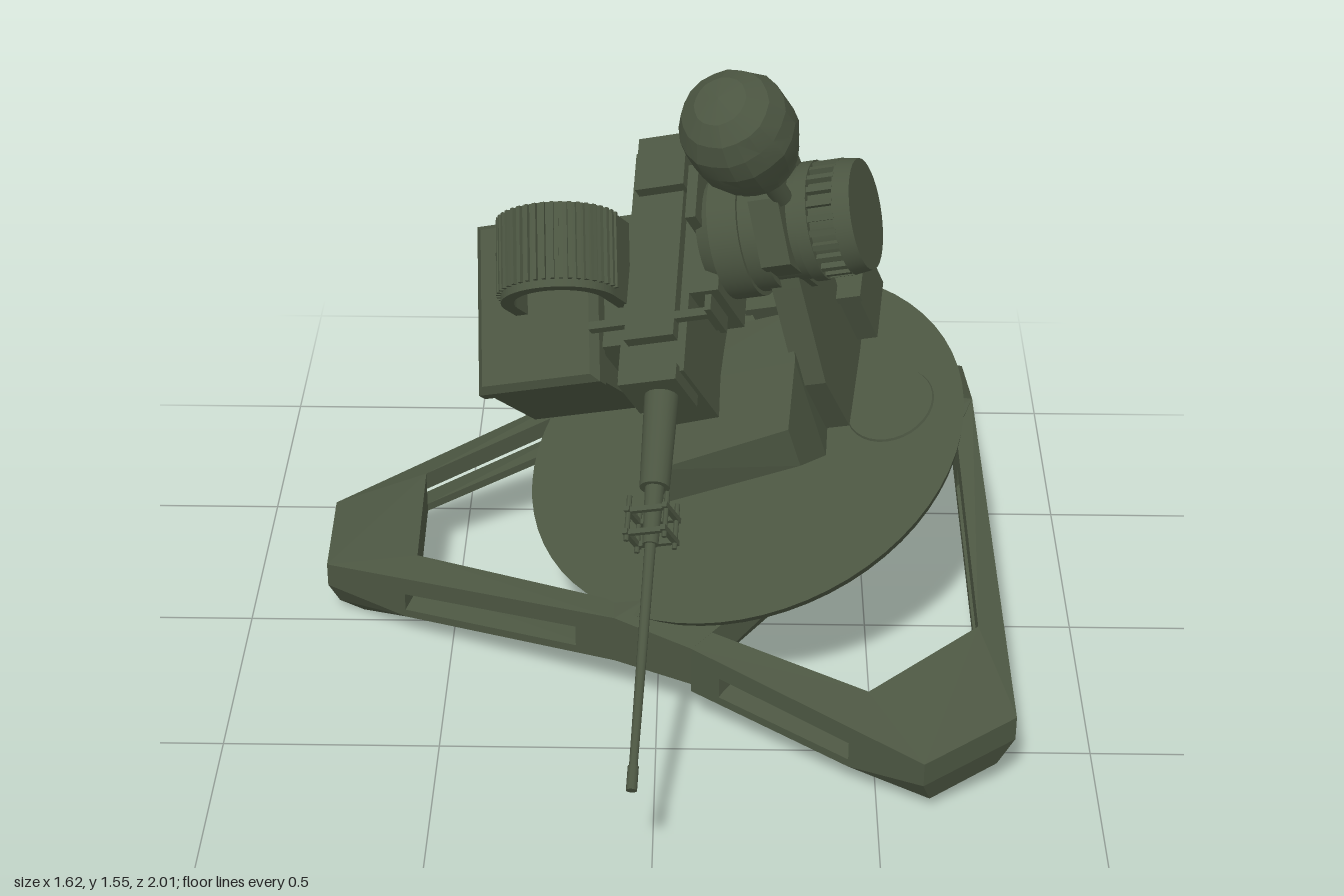
import * as THREE from 'three';
import { ConvexGeometry } from 'three/addons/geometries/ConvexGeometry.js';
import { toCreasedNormals } from 'three/addons/utils/BufferGeometryUtils.js';

const V = (x, y, z) => new THREE.Vector3(x, y, z);
const drop = (p, h) => V(p.x, p.y - h, p.z);
const mix = (p, q, t) => p.clone().lerp(q, t);

export function createModel() {
  const model = new THREE.Group();
  const olive = new THREE.MeshStandardMaterial({ color: 0x4b5541 });
  olive.name = 'olive';

  const add = (parent, name, geometry) => {
    const m = new THREE.Mesh(geometry, olive);
    m.name = name;
    parent.add(m);
    return m;
  };
  const hull = (parent, name, pts) => add(parent, name, new ConvexGeometry(pts));
  const slab = (parent, name, pts, h) => hull(parent, name, [...pts, ...pts.map((p) => drop(p, h))]);
  // Box given by its min and max on each axis
  const box = (parent, name, x0, x1, y0, y1, z0, z1) => {
    const m = add(parent, name, new THREE.BoxGeometry(x1 - x0, y1 - y0, z1 - z0));
    m.position.set((x0 + x1) / 2, (y0 + y1) / 2, (z0 + z1) / 2);
    return m;
  };
  // Cylinder between two points
  const rod = (parent, name, p, q, r0, r1 = r0, seg = 10) => {
    const d = q.clone().sub(p);
    const m = add(parent, name, new THREE.CylinderGeometry(r1, r0, d.length(), seg));
    m.position.copy(p).addScaledVector(d, 0.5);
    m.quaternion.setFromUnitVectors(V(0, 1, 0), d.normalize());
    return m;
  };
  // Profile in (z, y), extruded along x
  const sideProfile = (parent, name, pts, x0, x1) => {
    const shape = new THREE.Shape(pts.map(([z, y]) => new THREE.Vector2(-z, y)));
    const g = new THREE.ExtrudeGeometry(shape, { depth: x1 - x0, bevelEnabled: false });
    g.rotateY(Math.PI / 2);
    g.translate(x0, 0, 0);
    return add(parent, name, g);
  };

  // ---- Base: triangular hub and three open legs ----
  const base = new THREE.Group();
  base.name = 'base';
  model.add(base);
  const P1 = V(0.74, 0.58, -0.1);
  const P2a = V(-0.13, 0.37, -0.545), P2b = V(-0.06, 0.38, -0.585);
  const P3a = V(-0.1, 0.23, 0.32), P3b = V(0.08, 0.21, 0.41);
  hull(base, 'hub', [P1, drop(P1, 0.1), V(0.7, 0.42, -0.1), V(0.69, 0.55, -0.17), V(0.69, 0.53, 0),
    P2a, P2b, drop(P2a, 0.125), drop(P2b, 0.125), P3a, P3b, drop(P3a, 0.12), drop(P3b, 0.1)]);

  const legs = [
    { o: [V(-0.81, 0.17, -0.25), V(-0.81, 0.14, -0.02)], i: [V(-0.585, 0.245, -0.27), V(-0.585, 0.19, 0.01)], h: [P2a, P3a] },
    { o: [V(0.785, 0.21, -0.88), V(0.58, 0.18, -1.0)], i: [V(0.69, 0.31, -0.68), V(0.44, 0.27, -0.82)], h: [P1, P2b] },
    { o: [V(0.6, 0.14, 0.74), V(0.81, 0.19, 0.63)], i: [V(0.48, 0.22, 0.58), V(0.73, 0.31, 0.45)], h: [P3b, P1] },
  ];
  for (const { o, i, h } of legs) {
    const leg = new THREE.Group();
    leg.name = 'leg';
    base.add(leg);
    // Point on the outer edge level with the inner corner of the foot
    const edge = [0, 1].map((k) => {
      const d = h[k].clone().sub(o[k]);
      return mix(o[k], h[k], i[k].clone().sub(o[k]).dot(d) / d.lengthSq());
    });
    const toe = [0, 1].flatMap((k) => {
      const inward = (p, q, t) => mix(mix(p[k], q[k], t), mix(p[1 - k], q[1 - k], t), 0.14);
      return [drop(inward(o, i, 0.1), 0.135), drop(inward(o, i, 0.36), 0.172)];
    });
    hull(leg, 'foot', [...o, ...i, ...edge, ...o.map((p) => drop(p, 0.06)), ...toe,
      ...i.map((p) => drop(p, 0.11)), ...edge.map((p) => drop(p, 0.11))]);
    for (const k of [0, 1]) {
      const inner = h[k].clone().add(h[1 - k].clone().sub(h[k]).setLength(0.06));
      slab(leg, 'upperStrut', [edge[k], i[k], h[k], inner], 0.045);
      slab(leg, 'lowerStrut', [drop(edge[k], 0.09), drop(i[k], 0.09), drop(h[k], 0.1), drop(inner, 0.1)], 0.02);
      slab(leg, 'gusset', [h[k], inner, mix(h[k], edge[k], 0.18), mix(inner, i[k], 0.18)], 0.11);
    }
  }

  // ---- Tilted turntable ----
  const turret = new THREE.Group();
  turret.name = 'turret';
  const n = V(-0.335, 0.885, 0.32).normalize();
  const s = n.clone().cross(V(-0.107, -0.381, 0.918)).normalize();
  const f = s.clone().cross(n);
  turret.quaternion.setFromRotationMatrix(new THREE.Matrix4().makeBasis(s, n, f));
  turret.position.set(0.2, 0.47, -0.07);
  model.add(turret);

  const disc = add(turret, 'disc', new THREE.CylinderGeometry(0.528, 0.518, 0.025, 64));
  disc.position.y = -0.008;
  disc.scale.set(1.03, 1, 0.975);
  rod(turret, 'bearing', V(0, -0.1, 0), V(0, -0.01, 0), 0.31, 0.31, 48);
  for (let k = 0; k < 48; k++) {
    const t = (k / 48) * Math.PI * 2;
    const tooth = add(turret, 'bearingTooth', new THREE.BoxGeometry(0.03, 0.04, 0.022));
    tooth.position.set(Math.cos(t) * 0.315, -0.045, Math.sin(t) * 0.315);
    tooth.rotation.y = -t;
  }
  rod(turret, 'hatch', V(0.36, 0, -0.06), V(0.36, 0.01, -0.06), 0.11, 0.105, 32);
  rod(turret, 'underKnob', V(-0.14, -0.08, -0.4), V(-0.14, -0.01, -0.4), 0.035, 0.04, 12);

  // Rear pedestal with ribbed collar
  const px = -0.19, pz = -0.31;
  rod(turret, 'pedestal', V(px, 0, pz), V(px, 0.19, pz), 0.15, 0.15, 32);
  for (let k = 0; k < 32; k++) {
    const t = (k / 32) * Math.PI * 2;
    const rib = add(turret, 'pedestalRib', new THREE.BoxGeometry(0.02, 0.06, 0.014));
    rib.position.set(px + Math.cos(t) * 0.152, 0.13, pz + Math.sin(t) * 0.152);
    rib.rotation.y = -t;
  }

  // Front block rising from left to right, yoke arm and rear equipment case
  hull(turret, 'frontBlock', [V(-0.13, 0, -0.15), V(-0.13, 0.02, 0.14), V(-0.13, 0.09, 0.22), V(-0.13, 0.19, 0.2),
    V(-0.13, 0.24, 0), V(-0.1, 0.24, -0.15), V(0.2, 0, -0.15), V(0.22, 0.02, 0.08), V(0.2, 0.12, 0.18),
    V(0.2, 0.22, 0.15), V(0.22, 0.28, 0), V(0.2, 0.28, -0.15)]);
  sideProfile(turret, 'yokeArm', [[-0.3, 0], [0, 0.02], [0.01, 0.2], [-0.1, 0.42], [-0.18, 0.57], [-0.32, 0.57], [-0.36, 0.4], [-0.28, 0.2]], 0.2, 0.27);
  box(turret, 'rearCase', 0.05, 0.32, 0.03, 0.18, -0.42, -0.25);
  box(turret, 'rearCaseLid', 0.04, 0.33, 0.18, 0.2, -0.43, -0.24);
  for (const x of [0.08, 0.26]) box(turret, 'caseLatch', x, x + 0.03, 0.12, 0.19, -0.44, -0.42);

  // ---- Pitched gun ----
  const gun = new THREE.Group();
  gun.name = 'gun';
  gun.rotation.x = 0.168;
  turret.add(gun);

  box(gun, 'receiver', -0.13, 0.03, 0.22, 0.48, -0.54, 0.06);
  box(gun, 'receiverCover', -0.11, 0.01, 0.48, 0.51, -0.5, -0.02);
  box(gun, 'rearSight', -0.1, 0.02, 0.48, 0.54, -0.54, -0.4);
  box(gun, 'receiverRearPlate', -0.12, 0.02, 0.3, 0.46, -0.565, -0.54);
  box(gun, 'receiverFront', -0.12, 0.02, 0.36, 0.5, 0.05, 0.09);
  box(gun, 'sidePlate', 0.06, 0.085, 0.3, 0.61, -0.4, -0.26);
  box(gun, 'crossBar', -0.2, 0.1, 0.49, 0.51, -0.08, -0.06);
  box(gun, 'crossBarPost', 0.09, 0.105, 0.42, 0.53, -0.1, -0.06);
  box(gun, 'sideMount', 0.03, 0.1, 0.3, 0.48, -0.42, -0.14);

  // Barrel, jacket and barrel guard
  const by = 0.425, bx = -0.042;
  rod(gun, 'barrelJacket', V(bx, by, 0.06), V(bx, by, 0.32), 0.04, 0.034, 16);
  rod(gun, 'barrelSleeve', V(bx, by, 0.32), V(bx, by, 0.46), 0.022, 0.018, 12);
  rod(gun, 'barrel', V(bx, by, 0.4), V(bx, by, 1.03), 0.013, 0.009, 10);
  rod(gun, 'muzzle', V(bx, by, 0.98), V(bx, by, 1.035), 0.012, 0.012, 10);
  for (const dx of [-1, 1]) for (const dy of [-1, 1]) {
    rod(gun, 'guardRod', V(bx + dx * 0.045, by + dy * 0.032, 0.35), V(bx + dx * 0.045, by + dy * 0.032, 0.46), 0.006, 0.006, 6);
  }
  for (const z of [0.38, 0.435]) {
    for (const d of [-1, 1]) {
      box(gun, 'guardFrame', bx - 0.05, bx + 0.05, by + d * 0.032 - 0.006, by + d * 0.032 + 0.006, z, z + 0.012);
      box(gun, 'guardFrame', bx + d * 0.045 - 0.006, bx + d * 0.045 + 0.006, by - 0.045, by + 0.045, z, z + 0.012);
    }
  }

  // Steeply pitched ammunition box
  const ammo = new THREE.Group();
  ammo.name = 'ammunition';
  ammo.position.set(-0.345, 0.45, 0.04);
  ammo.rotation.x = 0.255;
  gun.add(ammo);
  box(ammo, 'ammoBox', -0.145, 0.145, -0.325, -0.02, -0.4, -0.01);
  hull(ammo, 'ammoBoxLid', [-1, 1].flatMap((x) => [-1, 1].flatMap((z) => [V(x * 0.152, -0.05, -0.205 + z * 0.205),
    V(x * 0.152, -0.015, -0.205 + z * 0.205), V(x * 0.135, 0.005, -0.205 + z * 0.19)])));
  box(gun, 'receiverLink', -0.2, -0.13, 0.26, 0.44, -0.4, -0.05);

  // Ribbed feed arch
  const arch = new THREE.Shape();
  arch.moveTo(-0.135, -0.1).lineTo(-0.135, 0).absarc(0, 0, 0.135, Math.PI, 0, true);
  arch.lineTo(0.135, -0.1).lineTo(0.105, -0.1).lineTo(0.105, 0).absarc(0, 0, 0.105, 0, Math.PI, false);
  arch.lineTo(-0.105, -0.1);
  const feed = new THREE.Group();
  feed.name = 'feedArch';
  feed.position.set(0.088, 0.063, -0.375);
  ammo.add(feed);
  add(feed, 'feedChute', new THREE.ExtrudeGeometry(arch, { depth: 0.2, bevelEnabled: false, curveSegments: 24 }));
  for (let k = 0; k <= 22; k++) {
    const t = (k / 22) * Math.PI;
    const rib = add(feed, 'feedRib', new THREE.BoxGeometry(0.014, 0.009, 0.18));
    rib.position.set(Math.cos(t) * 0.138, Math.sin(t) * 0.138, 0.092);
    rib.rotation.z = t;
  }

  // Side drum: stepped cylinder with slotted end cap
  const drum = new THREE.Group();
  drum.name = 'sensorDrum';
  drum.position.set(-0.015, 0.445, -0.31);
  gun.add(drum);
  for (const [x0, x1, r0, r1] of [[0.08, 0.12, 0.12, 0.14], [0.12, 0.19, 0.155, 0.155], [0.19, 0.24, 0.145, 0.145],
    [0.24, 0.32, 0.13, 0.13], [0.32, 0.35, 0.138, 0.138], [0.35, 0.41, 0.12, 0.12], [0.41, 0.45, 0.134, 0.128]]) {
    rod(drum, 'drumSection', V(x0, 0, 0), V(x1, 0, 0), r0, r1, 36);
  }
  for (let k = 0; k < 24; k++) {
    const t = (k / 24) * Math.PI * 2;
    const rib = add(drum, 'capRib', new THREE.BoxGeometry(0.064, 0.016, 0.014));
    rib.position.set(0.38, Math.cos(t) * 0.126, Math.sin(t) * 0.126);
    rib.rotation.x = t;
  }
  hull(drum, 'mastCollar', [0.23, 0.3].flatMap((x) => [V(x, 0.18, 0.04), V(x, 0.18, -0.04), V(x, 0.07, 0.15),
    V(x, 0.07, -0.15), V(x, -0.12, 0.1), V(x, -0.12, -0.1)]));

  // Mast with domed sensor head
  const mx = 0.287, mz = -0.285;
  rod(gun, 'mast', V(mx, 0.6, mz), V(mx, 0.78, mz), 0.024, 0.024, 12);
  const profile = [[0, -0.14], [0.07, -0.14], [0.09, -0.125], [0.094, -0.1], [0.108, -0.09], [0.114, -0.07], [0.122, -0.045],
    [0.128, 0], [0.122, 0.05], [0.1, 0.095], [0.06, 0.125], [0, 0.138]].map(([x, y]) => new THREE.Vector2(x, y));
  const dome = new THREE.LatheGeometry(profile, 20);
  const p = dome.attributes.position;
  for (let k = 0; k < p.count; k++) {
    const t = Math.atan2(p.getX(k), p.getZ(k)), y = p.getY(k);
    const w = 1 + 0.025 * Math.sin(5 * t + 40 * y) * Math.cos(3 * t - 25 * y);
    p.setXYZ(k, p.getX(k) * w, y, p.getZ(k) * w);
  }
  add(gun, 'sensorDome', toCreasedNormals(dome, 0.25)).position.set(mx, 0.88, mz);

  return model;
}
